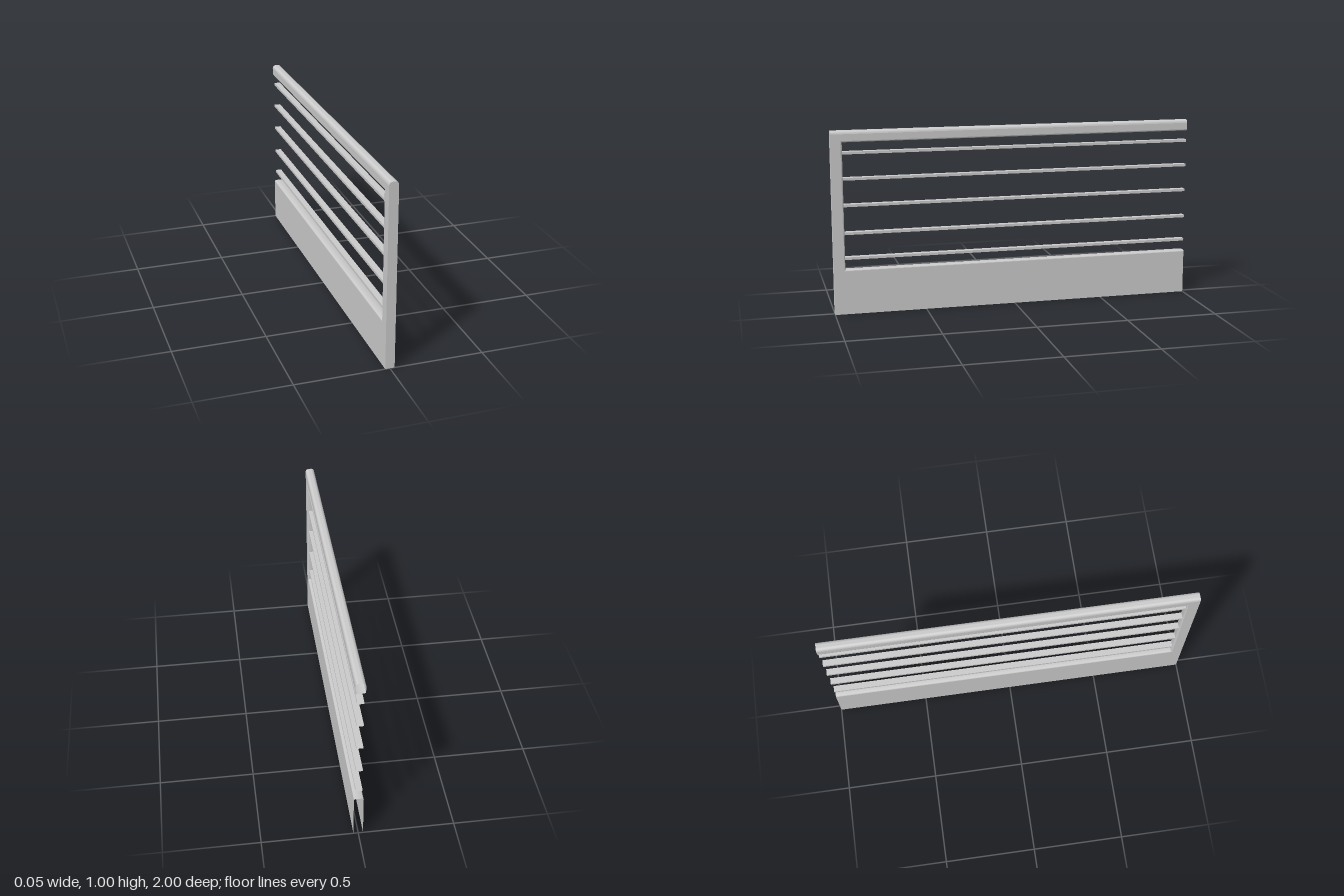
import * as THREE from 'three';
import { toCreasedNormals } from 'three/addons/utils/BufferGeometryUtils.js';

const W = 0.025;                              // half thickness of the panel
const TOP_R = 0.018, LIP_R = 0.008;           // edge roundings
const OPEN = { z: 0.938, y0: 0.246, y1: 0.938 };
const SLAT_HEIGHTS = [0.88, 0.74, 0.596, 0.444, 0.307];

const material = new THREE.MeshStandardMaterial({ color: 0xcccccc, side: THREE.DoubleSide });

// Half-open rounded profile: [x, depth], depth 0 on the flat, r at both sides
function roundedProfile(r, steps = 5) {
  const right = [];
  for (let i = 0; i <= steps; i++) {
    const a = (i / steps) * Math.PI / 2;
    right.push([W - r + r * Math.sin(a), r - r * Math.cos(a)]);
  }
  return [...right.slice().reverse().map(([x, d]) => [-x, d]), ...right].reverse();
}

// Skin rows of [x, y, z] points
function loft(rows) {
  const n = rows[0].length, index = [];
  for (let i = 0; i < rows.length - 1; i++)
    for (let j = 0; j < n - 1; j++) {
      const a = i * n + j, b = a + n;
      index.push(a, a + 1, b, a + 1, b + 1, b);
    }
  const g = new THREE.BufferGeometry();
  g.setAttribute('position', new THREE.Float32BufferAttribute(rows.flat(2), 3));
  g.setIndex(index);
  return toCreasedNormals(g, 0.6);
}

export function createModel() {
  const group = new THREE.Group();
  const add = (name, geometry) => {
    const mesh = new THREE.Mesh(geometry, material);
    mesh.name = name;
    group.add(mesh);
    return mesh;
  };

  // C-shaped side sheets (drawn in z, y, then turned to face sideways)
  const zi = OPEN.z + LIP_R, lo = OPEN.y0 - LIP_R, hi = OPEN.y1 + LIP_R;
  const outline = [[-1, 0], [1, 0], [1, 1 - TOP_R], [-1, 1 - TOP_R], [-1, hi], [zi, hi], [zi, lo], [-1, lo]];
  for (const side of [1, -1]) {
    // mirrored in z for the left side so each sheet faces outwards
    const shape = new THREE.Shape(outline.map(([z, y]) => new THREE.Vector2(-side * z, y)));
    const sheet = add(side > 0 ? 'leftSheet' : 'rightSheet', new THREE.ShapeGeometry(shape));
    sheet.rotation.y = side * Math.PI / 2;
    sheet.position.x = side * W;
  }

  // Rounded top edge
  const top = roundedProfile(TOP_R);
  add('topEdge', loft([-1, 1].map(z => top.map(([x, d]) => [x, 1 - d, z]))).scale(1, 1, 1));

  // Rounded lip following the three sides of the opening, mitred at the corners
  const lip = roundedProfile(LIP_R);
  const path = [
    d => [OPEN.y1 + d, -1],
    d => [OPEN.y1 + d, OPEN.z + d],
    d => [OPEN.y0 - d, OPEN.z + d],
    d => [OPEN.y0 - d, -1],
  ];
  add('openingLip', loft(path.map(p => lip.map(([x, d]) => [x, ...p(d)]))));

  // Flat front end of the post; the rear end and underside stay open
  const end = new THREE.Shape([[-W, 0], [W, 0], ...top.map(([x, d]) => [x, 1 - d])]
    .map(([x, y]) => new THREE.Vector2(x, y)));
  add('postEnd', new THREE.ShapeGeometry(end).translate(0, 0, 1));

  // Hollow horizontal slats
  const sw = 0.017, sh = 0.007;
  const ring = [[-sw, -sh], [-sw, sh], [sw, sh], [sw, -sh], [-sw, -sh]];
  const slat = loft([-1, OPEN.z].map(z => ring.map(([x, y]) => [x, y, z])));
  for (const y of SLAT_HEIGHTS) add('slat', slat).position.y = y;

  return group;
}
